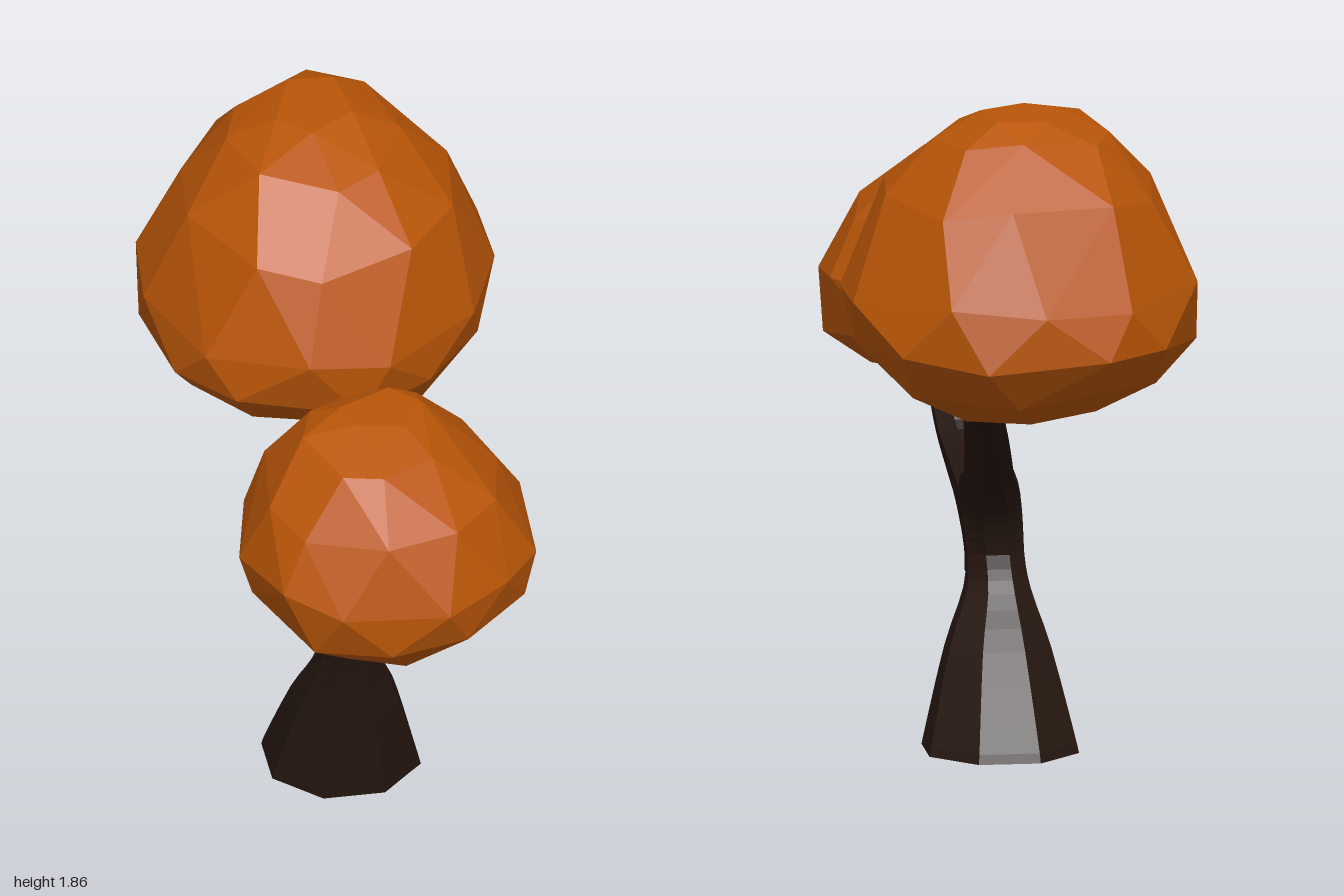
import * as THREE from 'three';
import { ConvexGeometry } from 'three/addons/geometries/ConvexGeometry.js';

const bark = new THREE.MeshStandardMaterial({ color: 0x25160f, flatShading: true });
const foliage = new THREE.MeshStandardMaterial({ color: 0xba5608, flatShading: true });

// Smooth loft of oval rings. Each section: [x centre, half width, front z, front y, back z, back y]
function loft(sections, sides = 8, steps = 3) {
  const spline = (pick) => new THREE.CatmullRomCurve3(
    sections.map((s) => new THREE.Vector3(...pick(s))), false, 'catmullrom', 0.5);
  const front = spline(([x, , z1, y1]) => [x, y1, z1]);
  const back = spline(([, w, , , z2, y2]) => [w, y2, z2]);
  const last = (sections.length - 1) * steps;
  const k = 1 / Math.cos(Math.PI / sides);
  const pos = [], idx = [];
  for (let r = 0; r <= last; r++) {
    const f = front.getPoint(r / last), b = back.getPoint(r / last);
    for (let i = 0; i < sides; i++) {
      const a = ((i + 0.5) / sides) * Math.PI * 2;
      const c = Math.cos(a) * k, s = (Math.sin(a) * k) / 2;
      pos.push(f.x + b.x * c, (f.y + b.y) / 2 + (f.y - b.y) * s, (f.z + b.z) / 2 + (f.z - b.z) * s);
    }
  }
  for (let r = 0; r < last; r++) {
    for (let i = 0; i < sides; i++) {
      const a = r * sides + i, b = r * sides + ((i + 1) % sides);
      idx.push(a, a + sides, b, b, a + sides, b + sides);
    }
  }
  // end caps
  const top = last * sides;
  for (let i = 1; i < sides - 1; i++) {
    idx.push(0, i, i + 1, top, top + i + 1, top + i);
  }
  const g = new THREE.BufferGeometry();
  g.setAttribute('position', new THREE.Float32BufferAttribute(pos, 3));
  g.setIndex(idx);
  const flat = g.toNonIndexed();
  flat.computeVertexNormals();
  return flat;
}

// Faceted hull through staggered rings. Each ring: [y, x min, x max, z min, z max, points]
// bulge: extra fullness of the four quadrants, in the order +x+z, -x+z, -x-z, +x-z
function canopy(rings, bulge, phase) {
  const pts = [];
  const clamp = (v) => THREE.MathUtils.clamp(v, -1, 1);
  rings.forEach(([y, x0, x1, z0, z1, n], r) => {
    const edge = r === 0 || r === rings.length - 1;
    for (let i = 0; i < n; i++) {
      const turn = (i + 0.5 * (r % 2) + 0.14 * Math.sin(i * 2.4 + r * 1.7 + phase)) / n + phase;
      const a = turn * Math.PI * 2;
      const full = 1.02 + bulge[Math.floor(turn * 4) % 4] * Math.sin(2 * a) ** 2;
      const dy = edge ? 0 : 0.018 * Math.sin(i * 2.1 + r * 3.3 + phase);
      pts.push(new THREE.Vector3(
        (x0 + x1) / 2 + ((x1 - x0) / 2) * clamp(full * Math.cos(a)),
        y + dy,
        (z0 + z1) / 2 + ((z1 - z0) / 2) * clamp(full * Math.sin(a))
      ));
    }
  });
  return new ConvexGeometry(pts);
}

export function createModel() {
  const group = new THREE.Group();
  const add = (name, geometry, material) => {
    const mesh = new THREE.Mesh(geometry, material);
    mesh.name = name;
    group.add(mesh);
  };

  // flared trunk curving up into the front branch
  const neck = [0, 0.078, 0.165, 0.52, 0, 0.52];
  add('trunkAndFrontBranch', loft([
    [0.007, 0.203, 0.1, 0.012, -0.3, 0.001],
    [0.007, 0.2, 0.1, 0.03, -0.308, 0.03],
    [0.002, 0.14, 0.12, 0.26, -0.15, 0.28],
    [-0.005, 0.088, 0.14, 0.42, -0.04, 0.42],
    neck,
    [0.01, 0.083, 0.24, 0.61, 0.03, 0.7],
    [0.018, 0.083, 0.34, 0.67, 0.17, 0.75],
    [0.035, 0.08, 0.46, 0.765, 0.33, 0.805],
    [0.048, 0.076, 0.54, 0.865, 0.395, 0.87],
    [0.048, 0.072, 0.58, 0.93, 0.43, 0.94],
    [0.048, 0.065, 0.61, 1.02, 0.48, 1.05],
  ]), bark);

  // long branch leaning to the back
  add('backBranch', loft([
    [0, 0.078, 0.15, 0.46, -0.01, 0.46],
    neck,
    [0.01, 0.082, 0.21, 0.67, -0.03, 0.61],
    [0.02, 0.075, 0.12, 0.752, -0.09, 0.69],
    [0.035, 0.067, -0.02, 0.778, -0.15, 0.74],
    [0.055, 0.062, -0.17, 0.885, -0.26, 0.83],
    [0.08, 0.056, -0.3, 0.985, -0.385, 0.94],
    [0.093, 0.052, -0.37, 1.05, -0.465, 1.03],
    [0.095, 0.05, -0.42, 1.15, -0.52, 1.12],
  ]), bark);

  // leaf masses
  add('backCanopy', canopy([
    [1.86, -0.11, 0.12, -0.68, -0.41, 5],
    [1.8, -0.24, 0.24, -0.77, -0.22, 8],
    [1.64, -0.37, 0.38, -0.89, -0.03, 10],
    [1.38, -0.485, 0.49, -0.985, 0.05, 11],
    [1.24, -0.475, 0.465, -1, 0.035, 11],
    [1.12, -0.37, 0.37, -0.9, -0.06, 9],
    [1.03, -0.2, 0.2, -0.72, -0.3, 6],
  ], [-0.06, 0.03, -0.01, 0.08], 0.064), foliage);

  add('frontCanopy', canopy([
    [1.575, -0.1, 0.12, 0.42, 0.62, 5],
    [1.53, -0.22, 0.17, 0.36, 0.78, 8],
    [1.38, -0.33, 0.33, 0.225, 0.93, 10],
    [1.2, -0.4, 0.425, 0.16, 1, 11],
    [1.06, -0.365, 0.41, 0.19, 0.97, 10],
    [0.97, -0.25, 0.28, 0.31, 0.86, 8],
    [0.925, -0.1, 0.13, 0.43, 0.69, 5],
  ], [-0.07, 0, 0.01, 0.02], 0.175), foliage);

  return group;
}
